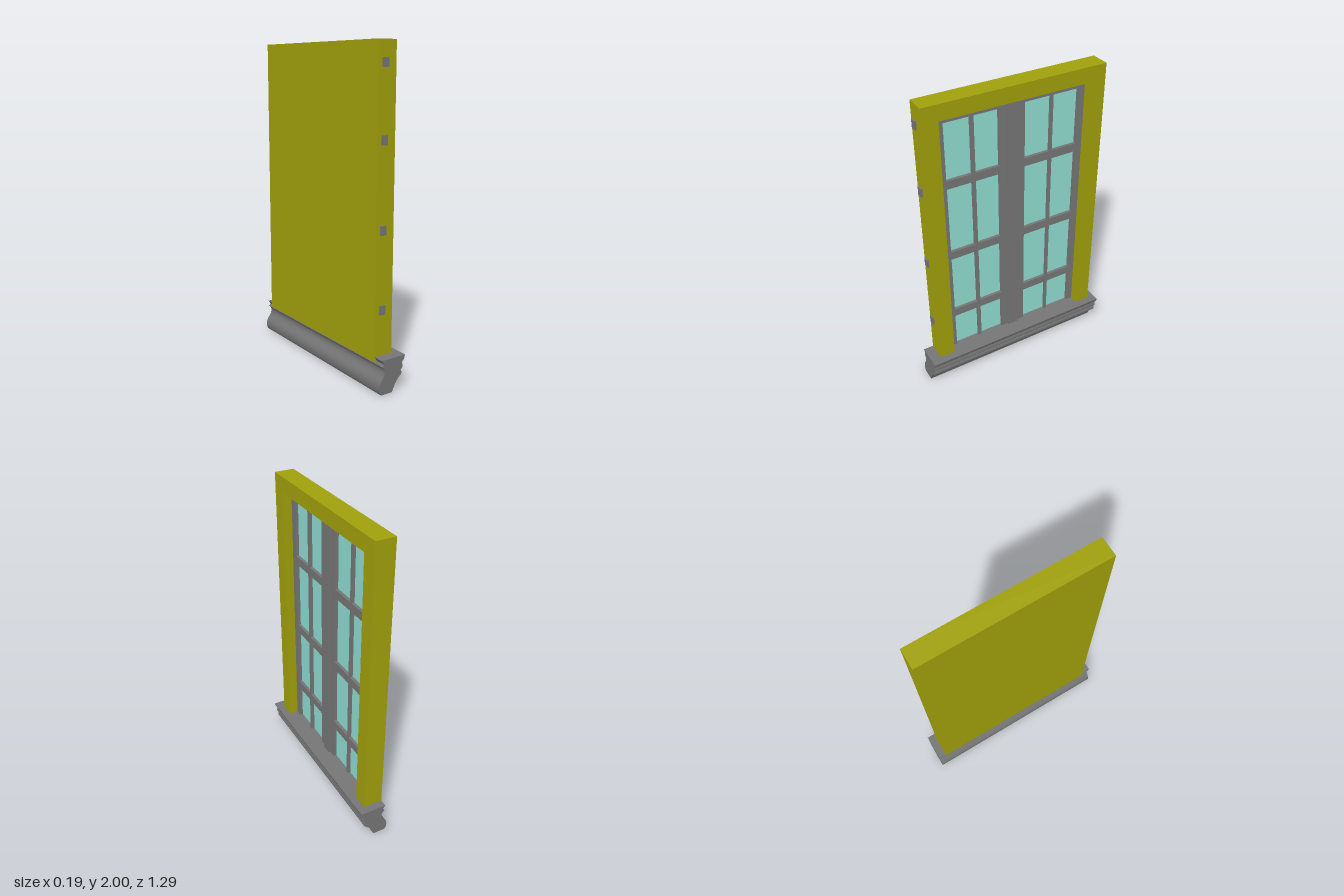
import * as THREE from 'three';
import { toCreasedNormals } from 'three/addons/utils/BufferGeometryUtils.js';

const material = (color) => new THREE.MeshStandardMaterial({ color });

export function createModel() {
  const model = new THREE.Group();
  const paint = material(0xa0a00c);
  const grey = material(0x757575);
  const glass = material(0x8fdcd0);

  // Box given by its limits on each axis
  function box(name, mat, [x0, x1], [y0, y1], [z0, z1], parent = model) {
    const mesh = new THREE.Mesh(new THREE.BoxGeometry(x1 - x0, y1 - y0, z1 - z0), mat);
    mesh.position.set((x0 + x1) / 2, (y0 + y1) / 2, (z0 + z1) / 2);
    mesh.name = name;
    parent.add(mesh);
    return mesh;
  }

  // Outer frame: closed back, two jambs and a head; the window faces +x
  const frame = new THREE.Group();
  frame.name = 'frame';
  model.add(frame);
  const back = -0.08, panel = -0.06, front = 0.045;
  const bottom = 0.18, zMin = -0.593, zMax = 0.576, inMin = -0.493, inMax = 0.476, inTop = 1.902;
  box('backPanel', paint, [back, panel], [bottom, 2], [zMin, zMax], frame);
  box('leftJamb', paint, [panel, front], [bottom, 2], [inMax, zMax], frame);
  box('rightJamb', paint, [panel, front], [bottom, 2], [zMin, inMin], frame);
  box('head', paint, [panel, front], [inTop, 2], [inMin, inMax], frame);

  // Glass behind the bars
  box('glass', glass, [panel, -0.035], [0.19, inTop], [inMin, inMax]);

  // Window bars
  const sash = new THREE.Group();
  sash.name = 'sash';
  model.add(sash);
  const depth = [-0.053, -0.015];
  const uprights = [[0.428, inMax], [0.242, 0.263], [0.037, 0.084], [-0.086, -0.037], [-0.277, -0.26], [inMin, -0.449]];
  uprights.forEach((z) => box('upright', grey, depth, [0.19, inTop], z, sash));
  box('centrePost', grey, [-0.053, -0.003], [0.19, inTop], [-0.037, 0.037], sash);

  // Cross bars run through the left jamb and show as small tabs outside
  [[1.853, 1.905], [1.433, 1.488], [0.927, 0.982], [0.461, 0.516]].forEach((y) =>
    box('crossBar', grey, depth, y, [inMin, 0.588], sash));

  // Moulded sill: a profile in x and y, extruded along z
  const profile = new THREE.Shape();
  profile.moveTo(-0.078, 0.21);
  profile.lineTo(-0.062, 0.185);
  profile.lineTo(-0.074, 0.17);
  profile.quadraticCurveTo(-0.054, 0.155, -0.056, 0.134);
  profile.bezierCurveTo(-0.06, 0.1, -0.095, 0.085, -0.095, 0.045);
  profile.quadraticCurveTo(-0.095, 0.01, -0.08, 0);
  profile.lineTo(0, 0);
  profile.bezierCurveTo(0.02, 0.05, 0.035, 0.075, 0.067, 0.095);
  profile.quadraticCurveTo(0.072, 0.115, 0.061, 0.125);
  profile.quadraticCurveTo(0.08, 0.135, 0.078, 0.148);
  profile.lineTo(0.07, 0.168);
  profile.quadraticCurveTo(0.088, 0.18, 0.094, 0.21);
  profile.closePath();
  const sillGeometry = new THREE.ExtrudeGeometry(profile, { depth: 1.286, bevelEnabled: false, curveSegments: 8 });
  sillGeometry.translate(0, 0, -0.643);
  const sill = new THREE.Mesh(toCreasedNormals(sillGeometry, 0.6), grey);
  sill.name = 'sill';
  model.add(sill);

  return model;
}
